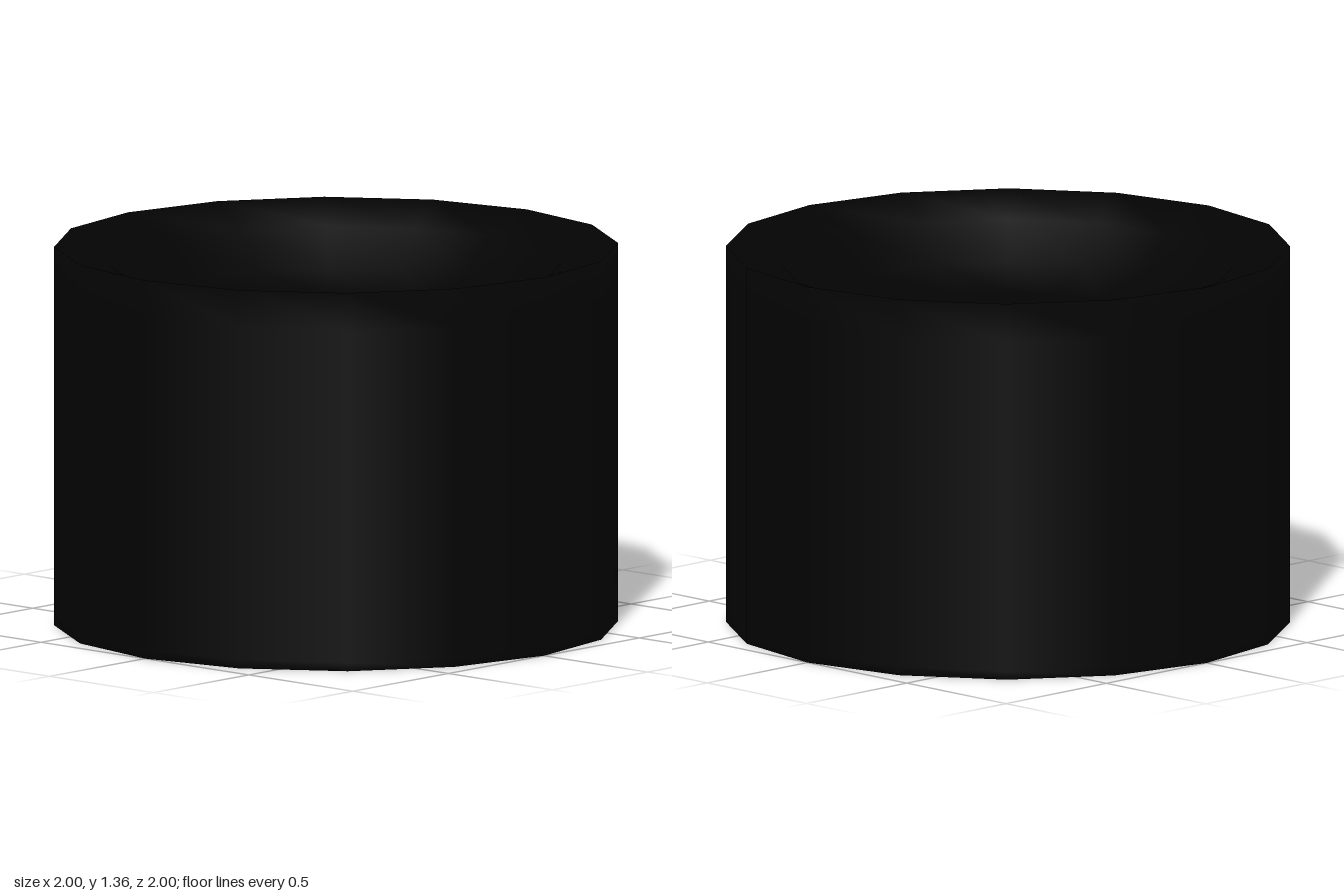
import * as THREE from 'three';

const HEIGHT = 1.36;
const SIDES = 16;

export function createModel() {
  const group = new THREE.Group();
  group.name = 'cap';

  const material = new THREE.MeshStandardMaterial({ color: 0x030303 });

  // Sixteen-sided drum with softly shaded edges: flat base, upright wall,
  // inward-sloping rim and a bowl-shaped hollow in the top
  const profile = [
    [0, 0],
    [1, 0],
    [1, 0.03],
    [1, HEIGHT - 0.14],
    [1, HEIGHT],
    [0.8, HEIGHT - 0.07],
    [0.68, HEIGHT - 0.2],
    [0.45, HEIGHT - 0.26],
    [0, HEIGHT - 0.28],
  ].map(([r, y]) => new THREE.Vector2(r, y));

  const body = new THREE.Mesh(new THREE.LatheGeometry(profile, SIDES), material);
  body.name = 'hollowedDrum';
  group.add(body);

  return group;
}
